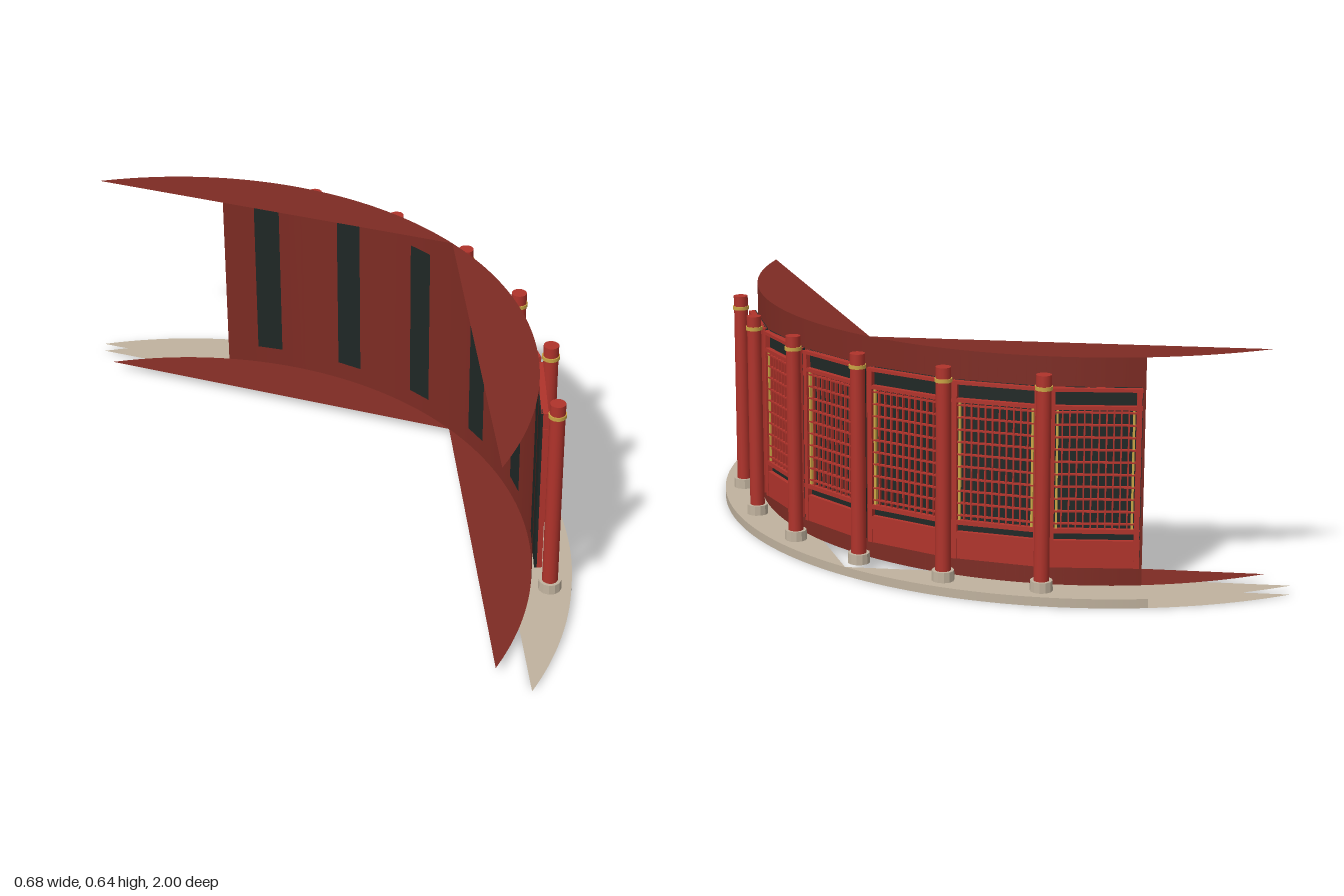
import * as THREE from 'three';

const mat = (name, color, side = THREE.FrontSide) => {
  const m = new THREE.MeshStandardMaterial({ color, side });
  m.name = name;
  return m;
};
const RAD = Math.PI / 180;
const CENTRE_X = -0.751; // centre of the curved plan

export function createModel() {
  const red = mat('lacquer red', 0xb0332b);
  const wallRed = mat('wall red', 0x7d2b23, THREE.DoubleSide);
  const stone = mat('stone', 0xc0b29e, THREE.DoubleSide);
  const gold = mat('gold', 0xcba544);
  const dark = mat('dark backing', 0x1f2725);

  const model = new THREE.Group();
  model.name = 'curvedColonnade';
  const plan = new THREE.Group();
  plan.name = 'plan';
  plan.position.x = CENTRE_X;
  model.add(plan);

  const add = (parent, name, geometry, material, x = 0, y = 0, z = 0) => {
    const mesh = new THREE.Mesh(geometry, material);
    mesh.name = name;
    mesh.position.set(x, y, z);
    parent.add(mesh);
    return mesh;
  };

  // Curved sheet spanning 45 degrees either side of +x
  const curvedSheet = (name, r, y0, y1, material) => add(plan, name,
    new THREE.CylinderGeometry(r, r, y1 - y0, 60, 1, true, 45 * RAD, 90 * RAD),
    material, 0, (y0 + y1) / 2, 0);

  // Pair of flat slivers, each between an arc and its chord
  const slivers = (name, r, degrees, y, material) => {
    for (const side of [1, -1]) {
      const shape = new THREE.Shape();
      shape.absarc(0, 0, r, 0, side * degrees * RAD, side < 0);
      const geo = new THREE.ShapeGeometry(shape, 40);
      geo.rotateX(-Math.PI / 2);
      add(plan, name, geo, material, 0, y, 0);
    }
  };

  // Plinth and back wall
  curvedSheet('plinthEdge', 1.093, 0, 0.025, stone);
  slivers('plinthTop', 1.093, 66, 0.025, stone);
  slivers('plinthUnderside', 1.093, 66, 0, stone);
  curvedSheet('backWall', 0.986, 0.025, 0.645, wallRed);
  slivers('wallTop', 0.986, 65.4, 0.645, wallRed);
  slivers('wallFoot', 0.986, 65.4, 0.0255, wallRed);

  // A group whose local x points outwards at the given angle
  const radial = (name, degrees) => {
    const g = new THREE.Group();
    g.name = name;
    g.rotation.y = -degrees * RAD;
    plan.add(g);
    return g;
  };

  // Columns
  const cylinder = (rTop, rBottom, h, n) => new THREE.CylinderGeometry(rTop, rBottom, h, n);
  const baseGeo = cylinder(0.03, 0.031, 0.028, 12).toNonIndexed();
  baseGeo.computeVertexNormals();
  const shaftGeo = cylinder(0.02, 0.021, 0.517, 16);
  const ringGeo = cylinder(0.0235, 0.0235, 0.01, 16);
  const capGeo = cylinder(0.0205, 0.0205, 0.03, 16);
  for (let a = -30; a <= 45; a += 15) {
    const column = radial('column', a);
    add(column, 'columnBase', baseGeo, stone, 1.036, 0.039, 0);
    add(column, 'columnShaft', shaftGeo, red, 1.036, 0.3105, 0);
    add(column, 'columnRing', ringGeo, gold, 1.036, 0.574, 0);
    add(column, 'columnCap', capGeo, red, 1.036, 0.594, 0);
  }

  // Screens between the columns
  for (let a = -37.5; a <= 37.5; a += 15) {
    const screen = radial('screen', a);
    // Box given by its radial, vertical and sideways limits
    const box = (name, material, r0, r1, y0, y1, z0, z1) => add(screen, name,
      new THREE.BoxGeometry(r1 - r0, y1 - y0, z1 - z0), material,
      (r0 + r1) / 2, (y0 + y1) / 2, (z0 + z1) / 2);

    box('backing', dark, 0.9852, 0.992, 0.08, 0.567, -0.121, 0.121);
    box('lowerPanel', red, 0.988, 1.004, 0.08, 0.155, -0.12, 0.12);
    for (const [y0, y1] of [[0.175, 0.187], [0.51, 0.52], [0.558, 0.567]]) {
      box('rail', red, 0.988, 1.006, y0, y1, -0.12, 0.12);
    }
    for (const s of [-1, 1]) {
      box('stile', red, 0.988, 1.006, 0.08, 0.567, s * 0.112 - 0.007, s * 0.112 + 0.007);
      box('goldStrip', gold, 0.99, 1.001, 0.187, 0.51, s * 0.099 - 0.003, s * 0.099 + 0.003);
    }
    // Lattice
    for (let i = 0; i < 10; i++) {
      const z = -0.086 + i * 0.172 / 9;
      box('latticeUpright', red, 0.99, 1, 0.187, 0.51, z - 0.002, z + 0.002);
    }
    for (let i = 0; i < 10; i++) {
      const y = 0.2 + i * 0.0335;
      if (y < 0.51) box('latticeBar', red, 0.99, 1.002, y - 0.002, y + 0.002, -0.105, 0.105);
    }
  }
  return model;
}
